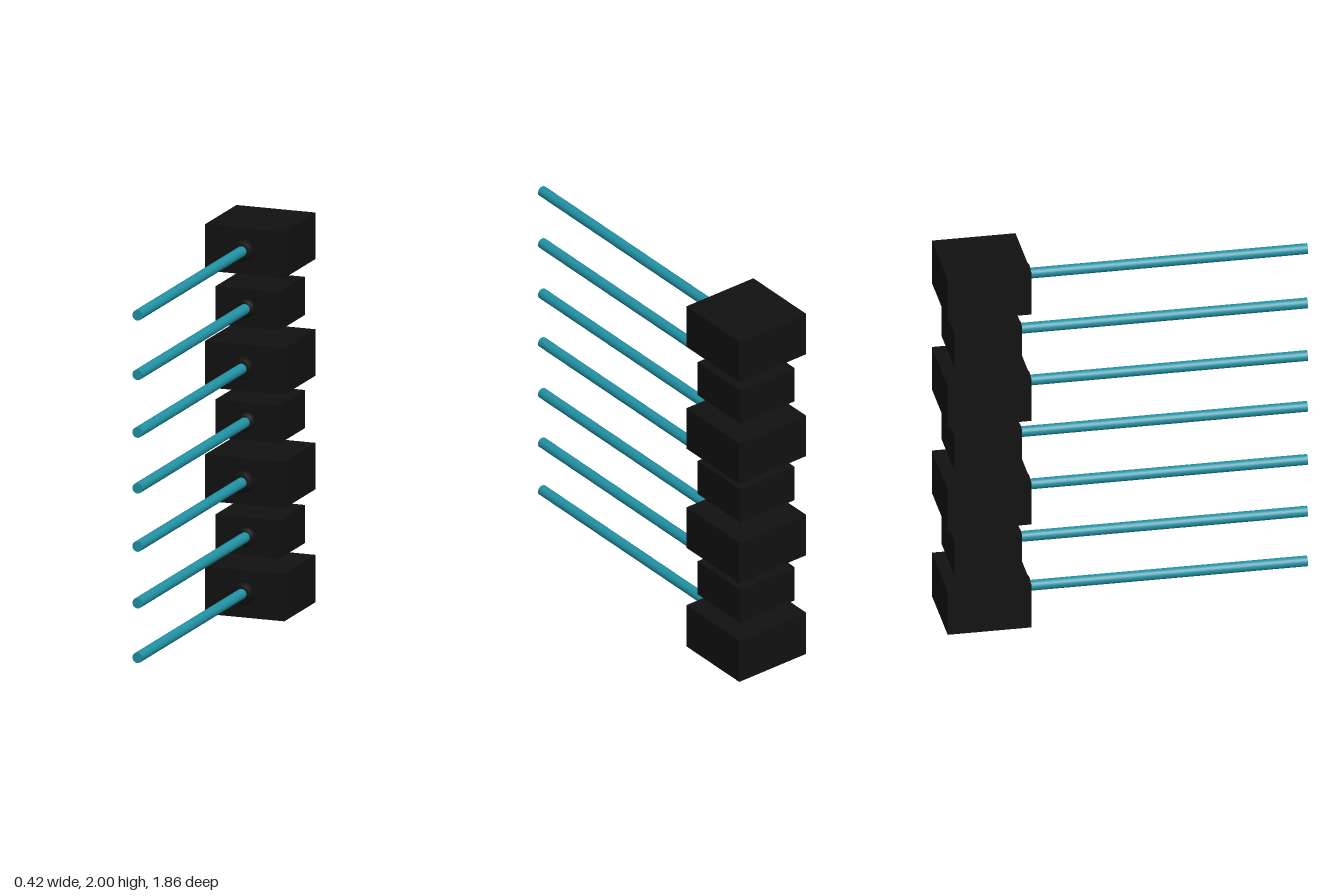
import * as THREE from 'three';

const BACK = -0.93, FRONT = 0.93, ROD_X = -0.006, ROD_R = 0.027;

// bottom of block, height of rod axis; large and small blocks alternate
const tiers = [
  [0, 0.127], [0.31, 0.407], [0.58, 0.698], [0.90, 0.997],
  [1.163, 1.283], [1.481, 1.579], [1.762, 1.885],
];
const sizes = {
  large: { side: 0.424, height: 0.238, z: -0.719, collarR: 0.056, collarL: 0.029 },
  small: { side: 0.344, height: 0.195, z: -0.718, collarR: 0.048, collarL: 0.023 },
};

export function createModel() {
  const model = new THREE.Group();
  model.name = 'rodRack';
  const black = new THREE.MeshStandardMaterial({ color: 0x111111 });
  const teal = new THREE.MeshStandardMaterial({ color: 0x2191a3 });

  const add = (parent, name, geometry, material, x, y, z) => {
    const mesh = new THREE.Mesh(geometry, material);
    mesh.name = name;
    mesh.position.set(x, y, z);
    parent.add(mesh);
  };

  tiers.forEach(([bottom, rodY], i) => {
    const s = i % 2 ? sizes.small : sizes.large;
    const height = i === 0 ? 0.243 : s.height;
    const face = s.z + s.side / 2;
    const tier = new THREE.Group();
    tier.name = i % 2 ? 'smallTier' : 'largeTier';

    // block
    add(tier, 'block', new THREE.BoxGeometry(s.side, height, s.side), black, 0, bottom + height / 2, s.z);

    // chamfered collar around the rod
    const c = 0.009;
    const profile = [
      [s.collarR, -0.01], [s.collarR, s.collarL - c],
      [s.collarR - c, s.collarL], [ROD_R - 0.002, s.collarL],
    ].map(([r, h]) => new THREE.Vector2(r, h));
    const collar = new THREE.LatheGeometry(profile, 24).rotateX(Math.PI / 2);
    add(tier, 'collar', collar, black, ROD_X, rodY, face);

    // rod, seated inside the block
    const start = face - 0.05;
    const rod = new THREE.CylinderGeometry(ROD_R, ROD_R, FRONT - start, 24).rotateX(Math.PI / 2);
    add(tier, 'rod', rod, teal, ROD_X, rodY, (FRONT + start) / 2);

    model.add(tier);
  });
  return model;
}
